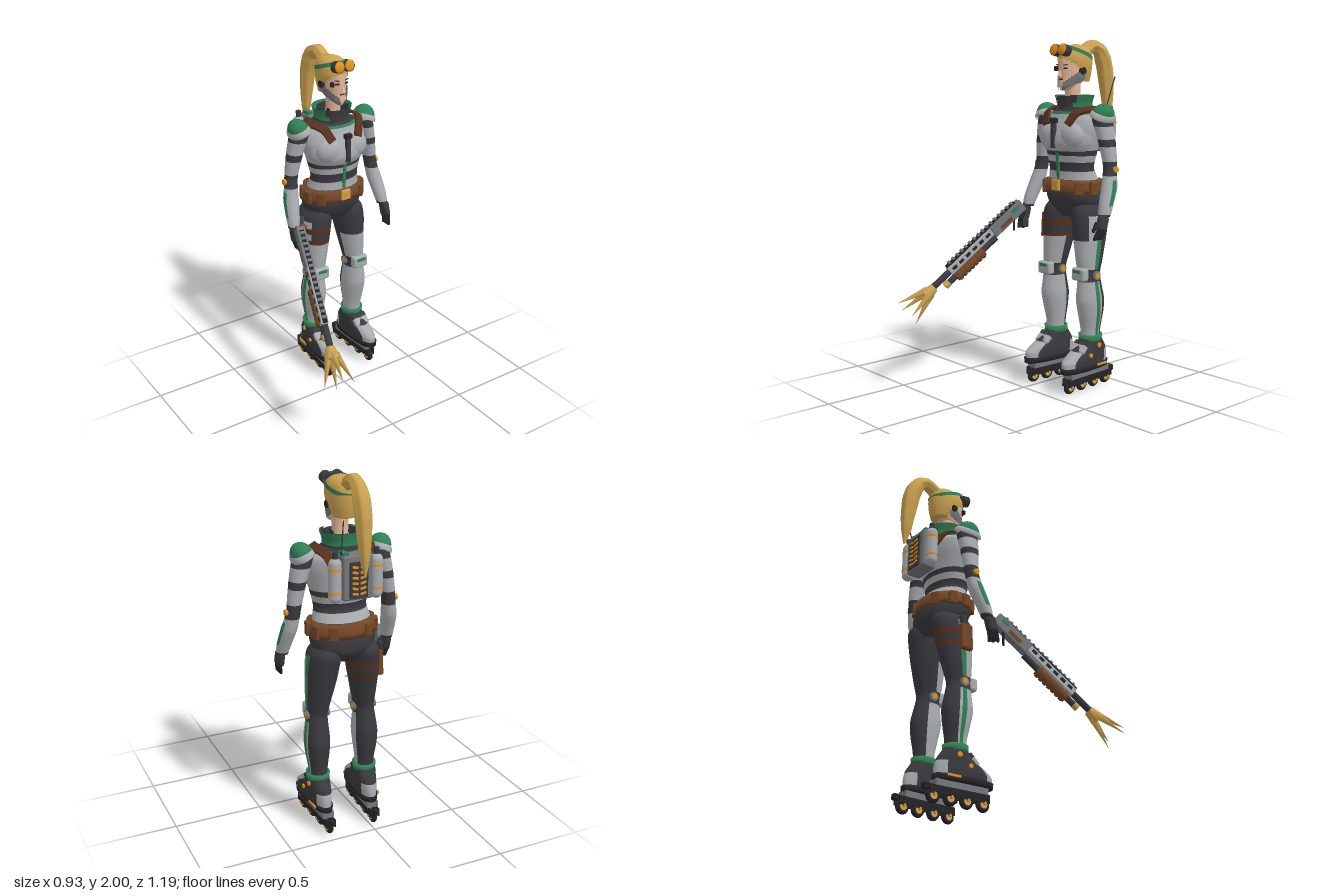
import * as THREE from 'three';
import { RoundedBoxGeometry } from 'three/addons/geometries/RoundedBoxGeometry.js';

const mat = (name, color, side = THREE.FrontSide) => {
  const m = new THREE.MeshStandardMaterial({ color, side });
  m.name = name;
  return m;
};
const D = THREE.DoubleSide;
const light = mat('light armour', 0xa9acaf, D), grey = mat('mid grey metal', 0x74777b, D),
  dark = mat('dark suit', 0x3a393e, D), black = mat('black rubber', 0x242428),
  green = mat('green trim', 0x2f8055, D), brown = mat('brown leather', 0x724626),
  strapBrown = mat('dark brown strap', 0x57321f, D), gold = mat('blond and gold', 0xcca250, D),
  skin = mat('skin', 0xe3b596), orange = mat('orange', 0xe2911c);

function add(parent, geo, m, name, p = [0, 0, 0], r = [0, 0, 0]) {
  const mesh = new THREE.Mesh(geo, m);
  mesh.name = name;
  mesh.position.set(...p);
  mesh.rotation.set(...r);
  parent.add(mesh);
  return mesh;
}
const group = (parent, name, p = [0, 0, 0]) => {
  const g = new THREE.Group();
  g.name = name;
  g.position.set(...p);
  parent.add(g);
  return g;
};
const box = (w, h, d) => new THREE.BoxGeometry(w, h, d);
const rbox = (w, h, d, r = 0.01) => new RoundedBoxGeometry(w, h, d, 2, r);
const cyl = (r, h) => new THREE.CylinderGeometry(r, r, h, 16);
const cylX = (r, h) => cyl(r, h).rotateZ(Math.PI / 2);
const cylZ = (r, h) => cyl(r, h).rotateX(Math.PI / 2);
const curve = pts => new THREE.CatmullRomCurve3(pts.map(p => new THREE.Vector3(...p)), false, 'catmullrom', 0.4);

// Box bar laid between two points
function bar(parent, a, b, w, h, m, name) {
  const p = new THREE.Vector3(...a), q = new THREE.Vector3(...b);
  const mesh = add(parent, box(w, h, p.distanceTo(q) + h), m, name);
  mesh.position.copy(p).lerp(q, 0.5);
  mesh.lookAt(q);
}

// Smooth skin over rings [y, cx, cz, rx, rz] listed upward; paint(y, angle) gives the
// material, angle 0 is front and +90 is +x, null leaves a gap
function loft(parent, name, rings, paint, { rows = 40, seg = 36, pow = 1, caps = true } = {}) {
  const c = curve(rings.map(r => [r[1], r[0], r[2]])), s = curve(rings.map(r => [r[3], 0, r[4]]));
  const pos = [], buckets = new Map();
  const bend = v => Math.sign(v) * Math.abs(v) ** pow;
  for (let i = 0; i <= rows; i++) {
    const o = c.getPoint(i / rows), r = s.getPoint(i / rows);
    for (let j = 0; j < seg; j++) {
      const a = j / seg * Math.PI * 2;
      pos.push(o.x + r.x * bend(Math.sin(a)), o.y, o.z + r.z * bend(Math.cos(a)));
    }
  }
  for (const t of [0, 1]) pos.push(...c.getPoint(t).toArray());
  const put = (m, ...f) => m && (buckets.get(m) ?? buckets.set(m, []).get(m)).push(...f);
  const end = (rows + 1) * seg;
  for (let j = 0; j < seg; j++) {
    const k = (j + 1) % seg, deg = (j + 0.5) / seg * 360, a = deg > 180 ? deg - 360 : deg;
    for (let i = 0; i < rows; i++) {
      const A = i * seg, B = A + seg;
      const m = paint((pos[A * 3 + 1] + pos[B * 3 + 1]) / 2, a);
      put(m, A + j, A + k, B + k, A + j, B + k, B + j);
    }
    if (caps) {
      put(paint(pos[1], a), end, k, j);
      put(paint(pos[(end - 1) * 3 + 1], a), end + 1, end - seg + j, end - seg + k);
    }
  }
  const g = new THREE.BufferGeometry(), index = [], mats = [];
  for (const [m, f] of buckets) {
    g.addGroup(index.length, f.length, mats.length);
    mats.push(m);
    index.push(...f);
  }
  g.setAttribute('position', new THREE.Float32BufferAttribute(pos, 3));
  g.setIndex(index);
  g.computeVertexNormals();
  return add(parent, g, mats, name);
}

function buildHead(body) {
  const h = group(body, 'head');
  loft(h, 'neck', [[1.6, 0, 0, 0.05, 0.05], [1.68, 0, 0.015, 0.043, 0.045], [1.77, 0, 0.02, 0.045, 0.05]], () => skin);
  const jaw = [[1.715, 0, 0.08, 0.018, 0.025], [1.74, 0, 0.052, 0.04, 0.06], [1.78, 0, 0.022, 0.056, 0.088],
    [1.84, 0, 0.008, 0.066, 0.105], [1.9, 0, 0, 0.071, 0.108], [1.95, 0, 0, 0.055, 0.08], [1.965, 0, 0, 0.02, 0.03]];
  loft(h, 'face', jaw, () => skin);
  // Jaw guard rises from the chin to the ears and leaves the mouth open
  loft(h, 'jawGuard', jaw.slice(0, 4).map(r => [r[0], 0, r[2], r[3] + 0.012, r[4] + 0.008]), (y, a) => {
    const t = Math.abs(a);
    return t > 24 && t < 112 && y < 1.765 + (t - 24) * 0.001 && y > 1.715 + (t - 40) * 0.0008 ? grey : null;
  }, { caps: false });
  loft(h, 'hair', [[1.765, 0, -0.035, 0.055, 0.06], [1.82, 0, -0.012, 0.076, 0.095], [1.88, 0, 0, 0.083, 0.113],
    [1.93, 0, 0, 0.076, 0.103], [1.96, 0, -0.005, 0.052, 0.068], [1.975, 0, -0.005, 0.01, 0.015]],
  (y, a) => Math.abs(a) < 85 && y < 1.893 - (a / 85) ** 2 * 0.085 ? null : gold);
  add(h, new THREE.ConeGeometry(0.013, 0.045, 8), skin, 'nose', [0, 1.815, 0.115], [-0.25, 0, 0]);
  add(h, box(0.028, 0.008, 0.008), strapBrown, 'lips', [0, 1.778, 0.107]);
  add(h, rbox(0.02, 0.026, 0.02, 0.004), black, 'eyepiece', [-0.056, 1.838, 0.092]);
  const band = loft(h, 'headband', [[-0.011, 0, 0, 0.086, 0.12], [0.011, 0, 0, 0.083, 0.117]], () => green, { rows: 2, caps: false });
  band.position.y = 1.922;
  band.rotation.x = -0.33;
  for (const s of [1, -1]) {
    add(h, box(0.022, 0.009, 0.006), black, 'eye', [s * 0.03, 1.838, 0.104], [0, s * 0.3, 0]);
    add(h, box(0.028, 0.005, 0.006), strapBrown, 'brow', [s * 0.031, 1.858, 0.105], [0, s * 0.3, s * 0.15]);
    add(h, cylX(0.02, 0.02), black, 'earpiece', [s * 0.073, 1.825, 0.01]);
    add(h, cylZ(0.033, 0.045), dark, 'goggleCup', [s * 0.033, 1.938, 0.112], [-0.2, 0, 0]);
    add(h, new THREE.SphereGeometry(0.031, 16, 10).scale(1, 1, 0.35), orange, 'goggleLens', [s * 0.033, 1.943, 0.134], [-0.2, 0, 0]);
    bar(h, [s * 0.04, 1.72, 0.03], [s * 0.045, 1.63, 0.03], 0.014, 0.014, black, 'neckCable');
  }
  // Ponytail: tube with its radius varied along the path
  const path = curve([[1.935, -0.075], [1.968, -0.14], [1.935, -0.205], [1.84, -0.245], [1.7, -0.265],
    [1.6, -0.272], [1.51, -0.28]].map(p => [0, ...p]));
  const radii = [0.038, 0.034, 0.046, 0.045, 0.038, 0.028, 0.006];
  const T = 48, R = 24, tail = new THREE.TubeGeometry(path, T, 1, R), P = tail.attributes.position, v = new THREE.Vector3();
  for (let n = 0; n < P.count; n++) {
    const t = Math.floor(n / (R + 1)) / T, f = t * 6, i = Math.min(5, Math.floor(f));
    const r = THREE.MathUtils.lerp(radii[i], radii[i + 1], f - i) * (1 + 0.08 * Math.cos((n % (R + 1)) / R * Math.PI * 12));
    const c = path.getPointAt(t);
    v.fromBufferAttribute(P, n).sub(c).multiplyScalar(r).add(c);
    P.setXYZ(n, v.x, v.y, v.z);
  }
  tail.computeVertexNormals();
  add(h, tail, gold, 'ponytail');
}

// Strap: a flat box bent over the shoulder
function buildStrap(body, s) {
  const path = curve([[0.085, 1.525, 0.14], [0.115, 1.59, 0.105], [0.15, 1.612, 0.04], [0.15, 1.612, -0.03],
    [0.125, 1.59, -0.09], [0.095, 1.52, -0.13]]);
  const g = new THREE.BoxGeometry(0.042, 0.016, 1, 1, 1, 24), P = g.attributes.position;
  for (let n = 0; n < P.count; n++) {
    const c = path.getPoint(Math.min(1, Math.max(0, P.getZ(n) + 0.5)));
    const out = new THREE.Vector3(c.x * 0.5, c.y - 1.45, c.z).normalize();
    const x = P.getX(n);
    c.addScaledVector(out, P.getY(n)).add(new THREE.Vector3(x, -x * 0.5, 0));
    P.setXYZ(n, s * c.x, c.y, c.z);
  }
  g.computeVertexNormals();
  add(body, g, strapBrown, 'shoulderStrap');
}

function buildTorso(body) {
  loft(body, 'torso', [[1, 0, -0.02, 0.09, 0.085], [1.06, 0, -0.02, 0.165, 0.13], [1.12, 0, -0.01, 0.183, 0.142],
    [1.2, 0, 0, 0.165, 0.125], [1.28, 0, 0.02, 0.148, 0.102], [1.36, 0, 0.02, 0.165, 0.115], [1.43, 0, 0.02, 0.185, 0.125],
    [1.5, 0, 0.012, 0.2, 0.13], [1.56, 0, 0, 0.19, 0.122], [1.6, 0, 0, 0.14, 0.105], [1.62, 0, 0, 0.09, 0.085]],
  y => y < 1.215 ? dark : y < 1.265 ? light : y < 1.32 ? dark : y < 1.355 ? light : y < 1.38 ? dark
    : y < 1.586 ? light : y < 1.6 ? green : dark, { rows: 90 });
  loft(body, 'chestPlate', [[1.378, 0, 0.03, 0.163, 0.12], [1.42, 0, 0.033, 0.182, 0.135], [1.47, 0, 0.03, 0.188, 0.133],
    [1.53, 0, 0.015, 0.18, 0.123], [1.575, 0, 0.003, 0.16, 0.11]], () => light, { rows: 16 });
  loft(body, 'innerCollar', [[1.57, 0, 0, 0.102, 0.104], [1.63, 0, 0.005, 0.09, 0.09], [1.685, 0, 0.01, 0.092, 0.09]], () => dark, { rows: 8, caps: false });
  loft(body, 'collar', [[1.59, 0, 0, 0.108, 0.108], [1.64, 0, 0, 0.102, 0.1], [1.69, 0, 0, 0.118, 0.108]],
    (y, a) => Math.abs(a) > 38 + (y - 1.6) * 150 && y > 1.625 ? green : Math.abs(a) > 30 ? dark : null, { rows: 12, caps: false });
  for (const s of [1, -1]) {
    add(body, new THREE.SphereGeometry(0.085, 24, 16).scale(1.05, 0.95, 0.8), light, 'breastPlate', [s * 0.078, 1.463, 0.094]);
    buildStrap(body, s);
    // Shoulder pad with a light rim
    const dome = (x, y, z) => new THREE.SphereGeometry(1, 24, 10, 0, Math.PI * 2, 0, Math.PI / 2).scale(x, y, z);
    add(body, dome(0.058, 0.07, 0.073), green, 'shoulderPad', [s * 0.22, 1.578, 0], [0, 0, -s * 0.5]);
    add(body, dome(0.064, 0.05, 0.087), light, 'shoulderPadRim', [s * 0.22, 1.57, 0], [0, 0, -s * 0.5]);
  }
  add(body, rbox(0.026, 0.17, 0.03, 0.006), dark, 'chestClasp', [0, 1.48, 0.165]);
  add(body, rbox(0.045, 0.03, 0.03, 0.006), black, 'chestClaspHead', [0, 1.55, 0.165]);
  add(body, box(0.018, 0.15, 0.012), green, 'waistStripe', [0, 1.295, 0.128], [0.08, 0, 0]);
  // Belt
  loft(body, 'belt', [[1.14, 0, -0.005, 0.19, 0.148], [1.215, 0, -0.002, 0.178, 0.138]], () => brown, { rows: 2 });
  add(body, rbox(0.06, 0.062, 0.016, 0.005), gold, 'buckle', [0, 1.185, 0.145]);
  add(body, cylZ(0.014, 0.006), orange, 'buckleStud', [0, 1.185, 0.152]);
  for (const a of [48, 80, 112, 148]) for (const s of [1, -1]) {
    const t = a * s * Math.PI / 180;
    add(body, rbox(0.052, 0.08, 0.035), brown, 'pouch', [0.183 * Math.sin(t), 1.17, 0.142 * Math.cos(t)], [0, t, 0]);
  }
}

function buildBackpack(body) {
  const b = group(body, 'backpack', [0, 1.485, -0.16]);
  add(b, rbox(0.165, 0.235, 0.09, 0.012), grey, 'packBody');
  add(b, box(0.1, 0.19, 0.012), dark, 'packPanel', [0, -0.01, -0.047]);
  for (let i = 0; i < 6; i++) for (const s of [1, -1])
    add(b, box(0.032, 0.012, 0.006), orange, 'vent', [s * 0.022, -0.08 + i * 0.028, -0.055], [0, 0, s * 0.2]);
  for (const s of [1, -1]) {
    add(b, box(0.03, 0.02, 0.06), green, 'packCap', [s * 0.062, 0.122, 0]);
    add(b, new THREE.CapsuleGeometry(0.034, 0.17, 6, 18), light, 'canister', [s * 0.116, -0.01, -0.012]);
    for (const y of [-0.07, 0.05]) add(b, cyl(0.036, 0.012), orange, 'canisterBand', [s * 0.116, y, -0.012]);
    add(b, cyl(0.015, 0.04), dark, 'canisterValve', [s * 0.116, 0.12, -0.012]);
  }
  bar(b, [0.088, 0.1, -0.02], [0.088, 0.31, -0.055], 0.005, 0.005, dark, 'antenna');
}

function buildArm(body, s) {
  const a = group(body, s > 0 ? 'leftArm' : 'rightArm');
  loft(a, 'sleeve', [[1.03, 0.312, 0.075, 0.032, 0.034], [1.09, 0.306, 0.055, 0.039, 0.042], [1.18, 0.293, 0.018, 0.043, 0.048],
    [1.25, 0.281, 0, 0.039, 0.042], [1.3, 0.274, -0.008, 0.038, 0.04], [1.36, 0.265, -0.008, 0.041, 0.046],
    [1.46, 0.245, -0.004, 0.047, 0.055], [1.55, 0.22, 0, 0.053, 0.06], [1.6, 0.195, 0, 0.045, 0.05]].map(r => [r[0], s * r[1], ...r.slice(2)]),
  (y, t) => y < 1.045 ? dark : y < 1.25 ? (Math.abs(t * s - 90) < 18 && y > 1.09 && y < 1.23 ? green : light)
    : y < 1.33 ? dark : y < 1.41 ? light : y < 1.45 ? dark : y < 1.525 ? light : y < 1.57 ? dark : light, { rows: 64 });
  add(a, cylX(0.017, 0.02), orange, 'elbowKnob', [s * 0.315, 1.285, -0.008]);
  add(a, rbox(0.042, 0.085, 0.065, 0.015), dark, 'palm', [s * 0.318, 0.995, 0.095], [-0.3, 0, 0]);
  for (let i = 0; i < 4; i++)
    add(a, new THREE.CapsuleGeometry(0.0095, 0.055, 4, 8), black, 'finger', [s * 0.318, 0.938, 0.085 + i * 0.018], [-0.35, 0, -s * 0.2]);
  add(a, new THREE.CapsuleGeometry(0.01, 0.045, 4, 8), black, 'thumb', [s * 0.298, 0.975, 0.132], [-0.5, 0, 0]);
}

function buildLeg(body, s) {
  const l = group(body, s > 0 ? 'leftLeg' : 'rightLeg');
  const strap = y => s < 0 && ((y > 0.87 && y < 0.9) || (y > 0.94 && y < 0.97));
  loft(l, 'legSuit', [[0.27, 0.143, 0, 0.05, 0.055], [0.36, 0.143, 0, 0.054, 0.062], [0.45, 0.145, 0.002, 0.066, 0.08],
    [0.53, 0.145, 0.007, 0.07, 0.091], [0.62, 0.143, 0.012, 0.061, 0.077], [0.68, 0.14, 0.015, 0.058, 0.07],
    [0.76, 0.135, 0.008, 0.068, 0.085], [0.88, 0.125, -0.005, 0.082, 0.105], [0.97, 0.118, -0.012, 0.089, 0.118],
    [1.04, 0.11, -0.02, 0.086, 0.122], [1.09, 0.1, -0.02, 0.06, 0.09]].map(r => [r[0], s * r[1], ...r.slice(2)]),
  (y, t) => {
    const out = t * s, f = Math.abs(t);
    if (strap(y)) return strapBrown;
    if (y > 0.635 && y < 0.705) return dark;
    if (out > 80 && out < 100 && y < 1.03) return green;
    if (y < 0.635) return f < 110 ? light : dark;
    if (y < 0.875) return f < 80 ? light : dark;
    return y < 1.02 && out > 50 && out < 80 ? light : dark;
  }, { rows: 72 });
  // Knee guard
  add(l, rbox(0.1, 0.075, 0.05, 0.015), light, 'kneeGuard', [s * 0.14, 0.682, 0.085]);
  add(l, box(0.055, 0.018, 0.008), green, 'kneeStripe', [s * 0.14, 0.7, 0.111]);
  for (const k of [1, -1]) {
    add(l, cylX(0.026, 0.02), grey, 'kneeJoint', [s * 0.14 + k * 0.058, 0.675, 0.012]);
    add(l, cylX(0.016, 0.026), orange, 'kneeKnob', [s * 0.14 + k * 0.058, 0.675, 0.012]);
  }
  // Boot
  const b = group(l, 'skate', [s * 0.143, 0, 0]);
  b.rotation.y = s * 0.05;
  loft(b, 'cuff', [[0.285, 0, 0, 0.062, 0.068], [0.325, 0, 0, 0.066, 0.072]], () => green, { rows: 2 });
  loft(b, 'boot', [[0.15, 0, 0.05, 0.053, 0.178], [0.185, 0, 0.05, 0.057, 0.176], [0.215, 0, 0.035, 0.058, 0.155],
    [0.25, 0, 0.01, 0.058, 0.115], [0.29, 0, 0, 0.058, 0.075], [0.3, 0, 0, 0.056, 0.07]],
  (y, t) => y < 0.24 && Math.abs(t) < 52 ? light : y < 0.225 && Math.abs(t) > 128 ? light : dark, { pow: 0.85 });
  add(b, rbox(0.1, 0.03, 0.055, 0.01), light, 'instepGuard', [0, 0.25, 0.098], [0.75, 0, 0]);
  add(b, box(0.095, 0.014, 0.03), dark, 'bootBuckle', [0, 0.278, 0.075], [0.75, 0, 0]);
  add(b, cylX(0.014, 0.012), orange, 'ankleKnob', [s * 0.06, 0.265, -0.01]);
  add(b, cylX(0.012, 0.012), orange, 'bootKnob', [s * 0.06, 0.215, 0.06]);
  add(b, box(0.008, 0.012, 0.08), orange, 'soleLight', [s * 0.057, 0.148, -0.04]);
  loft(b, 'sole', [[0.124, 0, 0.05, 0.054, 0.182], [0.156, 0, 0.05, 0.057, 0.185]], () => black, { rows: 2, pow: 0.75 });
  add(b, box(0.065, 0.035, 0.32), grey, 'mount', [0, 0.108, 0.03]);
  for (const k of [1, -1]) add(b, box(0.007, 0.045, 0.37), black, 'wheelRail', [k * 0.024, 0.07, 0.02]);
  for (let i = 0; i < 4; i++) {
    const z = 0.175 - i * 0.102;
    add(b, new THREE.TorusGeometry(0.026, 0.0145, 10, 20).rotateY(Math.PI / 2), black, 'wheel', [0, 0.0405, z]);
    add(b, cylX(0.021, 0.032), gold, 'wheelHub', [0, 0.0405, z]);
    add(b, cylX(0.008, 0.06), orange, 'axle', [0, 0.045, z]);
  }
  add(b, rbox(0.035, 0.035, 0.035, 0.008), black, 'brake', [0, 0.085, -0.175]);
}

function buildBlaster(root) {
  const g = group(root, 'blaster', [-0.2, 1.045, -0.16]);
  g.lookAt(-0.355, 0.575, 0.4);
  add(g, rbox(0.052, 0.075, 0.25, 0.008), grey, 'receiver', [0, 0, 0.125]);
  add(g, rbox(0.042, 0.052, 0.35, 0.008), light, 'barrelShroud', [0, 0.008, 0.42]);
  add(g, box(0.024, 0.014, 0.56), black, 'topRail', [0, 0.04, 0.31]);
  for (let i = 0; i < 16; i++) add(g, box(0.028, 0.01, 0.016), grey, 'railTooth', [0, 0.05, 0.05 + i * 0.034]);
  for (const s of [1, -1]) {
    add(g, box(0.006, 0.02, 0.05), green, 'greenInlay', [s * 0.026, 0.012, 0.06]);
    add(g, box(0.006, 0.022, 0.09), brown, 'woodInlay', [s * 0.026, -0.012, 0.15]);
    for (let i = 0; i < 6; i++) add(g, box(0.006, 0.018, 0.032), black, 'shroudSlot', [s * 0.02, 0.01, 0.285 + i * 0.054]);
  }
  add(g, cylZ(0.019, 0.17), dark, 'barrel', [0, 0.005, 0.66]);
  add(g, cylZ(0.018, 0.4), dark, 'magazineTube', [0, -0.042, 0.45]);
  add(g, cylZ(0.021, 0.03), gold, 'tubeCap', [0, -0.042, 0.65]);
  add(g, cylZ(0.027, 0.22), brown, 'pump', [0, -0.05, 0.47]);
  for (let i = 0; i < 7; i++) add(g, cylZ(0.033, 0.018), brown, 'pumpRib', [0, -0.05, 0.38 + i * 0.03]);
  bar(g, [0, -0.02, 0.04], [0, -0.12, 0], 0.03, 0.035, dark, 'grip');
  bar(g, [0, -0.03, 0.13], [0, -0.085, 0.09], 0.012, 0.012, black, 'triggerGuard');
  bar(g, [0, -0.085, 0.09], [0, -0.09, 0.02], 0.012, 0.012, black, 'triggerGuard');
  // Clawed muzzle
  add(g, new THREE.CylinderGeometry(0.042, 0.028, 0.07, 8).rotateX(Math.PI / 2), gold, 'clawBase', [0, 0, 0.755]);
  for (let i = 0; i < 4; i++) {
    const claw = group(g, 'claw', [0, 0, 0.77]);
    claw.rotation.z = i * Math.PI / 2;
    add(claw, new THREE.ConeGeometry(0.024, 0.19, 4).rotateX(Math.PI / 2), gold, 'clawProng', [0.052, 0, 0.08], [0, 0.36, 0]);
  }
}

export function createModel() {
  const root = new THREE.Group();
  root.name = 'armouredSkater';
  const body = group(root, 'body', [0.11, 0, -0.29]);
  buildHead(body);
  buildTorso(body);
  buildBackpack(body);
  for (const s of [1, -1]) {
    buildArm(body, s);
    buildLeg(body, s);
  }
  // Holster on the right thigh
  add(body, rbox(0.035, 0.15, 0.075), brown, 'holster', [-0.222, 0.925, 0], [0, 0, -0.05]);
  add(body, rbox(0.024, 0.07, 0.04, 0.008), dark, 'sidearmGrip', [-0.222, 1.015, -0.015], [-0.3, 0, 0]);
  buildBlaster(root);
  return root;
}
